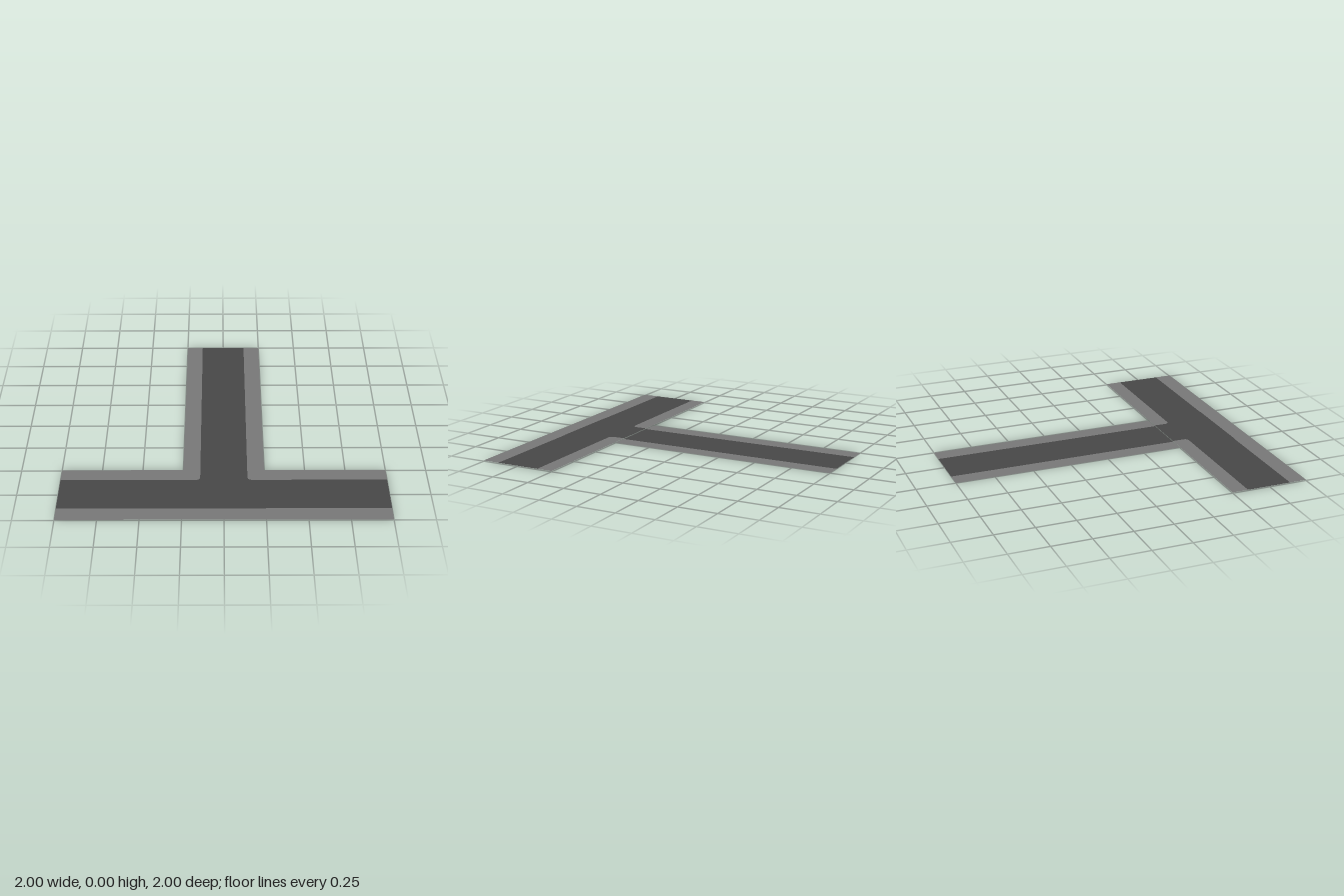
import * as THREE from 'three';

export function createModel() {
  const group = new THREE.Group();
  const make = (name, color) => {
    const m = new THREE.MeshStandardMaterial({ color, side: THREE.DoubleSide });
    m.name = name;
    return m;
  };
  const asphalt = make('asphalt', 0x484848);
  const paving = make('paving', 0x797979);

  const CROSS = 0.005; // height of the cross road; the stem lies on the ground
  const ROAD = 0.145;  // half width of the carriageway
  const HALF = 0.25;   // half width including pavements
  const R = 0.03;      // kerb radius at the corners

  // Horizontal sheet from a shape drawn in (x, -z)
  function sheet(name, shape, y, material) {
    const geometry = new THREE.ShapeGeometry(shape, 8);
    geometry.rotateX(-Math.PI / 2);
    geometry.translate(0, y, 0);
    const mesh = new THREE.Mesh(geometry, material);
    mesh.name = name;
    group.add(mesh);
  }
  function strip(name, x0, x1, z0, z1, y, material) {
    const s = new THREE.Shape();
    s.moveTo(x0, -z0).lineTo(x1, -z0).lineTo(x1, -z1).lineTo(x0, -z1);
    sheet(name, s, y, material);
  }

  // Stem road
  strip('stemRoad', -ROAD, ROAD, -1, 0.5, 0, asphalt);

  // Junction carriageway with rounded inner corners
  const j = new THREE.Shape();
  j.moveTo(-HALF, -0.893).lineTo(HALF, -0.893).lineTo(HALF, -0.603);
  j.lineTo(ROAD + R, -0.603);
  j.quadraticCurveTo(ROAD, -0.603, ROAD, -0.603 + R);
  j.lineTo(ROAD, -0.5).lineTo(-ROAD, -0.5).lineTo(-ROAD, -0.603 + R);
  j.quadraticCurveTo(-ROAD, -0.603, -ROAD - R, -0.603);
  j.lineTo(-HALF, -0.603);
  sheet('junctionRoad', j, CROSS, asphalt);
  strip('junctionPavement', -HALF, HALF, 0.893, 1, CROSS, paving);

  // Both sides: stem pavement, rounded corner and cross road arm
  for (const [side, s] of [['left', 1], ['right', -1]]) {
    strip(side + 'StemPavement', s * ROAD, s * HALF, -1, 0.5, 0, paving);

    const c = new THREE.Shape();
    c.moveTo(s * HALF, -0.5).lineTo(s * ROAD, -0.5).lineTo(s * ROAD, -0.603 + R);
    c.quadraticCurveTo(s * ROAD, -0.603, s * (ROAD + R), -0.603);
    c.lineTo(s * HALF, -0.603);
    sheet(side + 'CornerPavement', c, CROSS, paving);

    strip(side + 'ArmBackPavement', s * HALF, s, 0.5, 0.603, CROSS, paving);
    strip(side + 'ArmRoad', s * HALF, s, 0.603, 0.89, CROSS, asphalt);
    strip(side + 'ArmFrontPavement', s * HALF, s, 0.89, 1, CROSS, paving);
  }
  return group;
}
